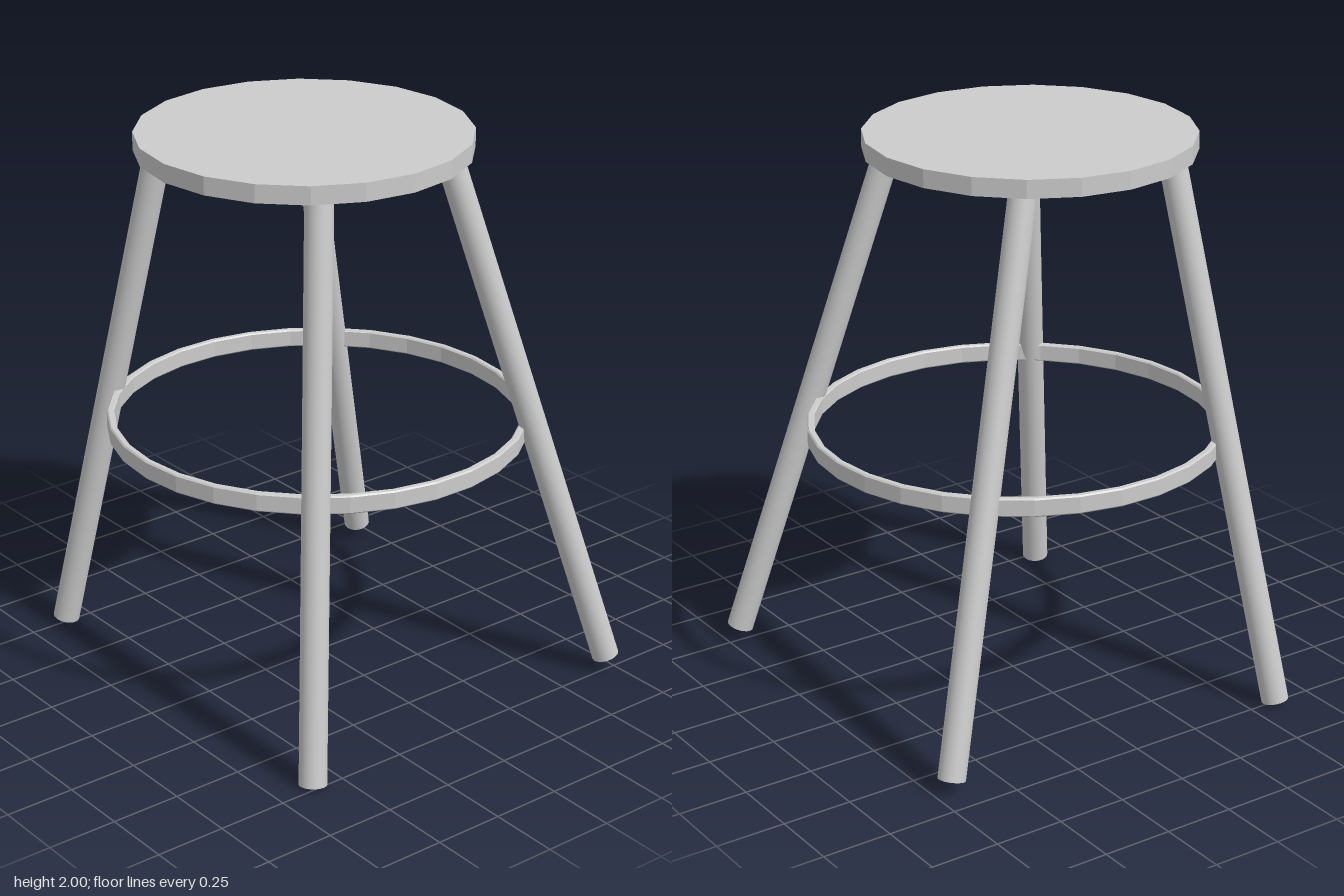
import * as THREE from 'three';

const flat = new THREE.MeshStandardMaterial({ color: 0xcccccc, flatShading: true });
const smooth = new THREE.MeshStandardMaterial({ color: 0xcccccc });
const LEG_RADIUS = 0.048;

// Round rod between two points
function rod(name, from, to) {
  const a = new THREE.Vector3(...from);
  const b = new THREE.Vector3(...to);
  const dir = b.clone().sub(a);
  const mesh = new THREE.Mesh(new THREE.CylinderGeometry(LEG_RADIUS, LEG_RADIUS, dir.length(), 24), smooth);
  mesh.position.copy(a).add(b).multiplyScalar(0.5);
  mesh.quaternion.setFromUnitVectors(new THREE.Vector3(0, 1, 0), dir.normalize());
  mesh.name = name;
  return mesh;
}

export function createModel() {
  const stool = new THREE.Group();
  stool.name = 'stool';

  // Twenty-sided disc seat
  const seat = new THREE.Mesh(new THREE.CylinderGeometry(0.573, 0.573, 0.064, 20), flat);
  seat.name = 'seat';
  seat.position.set(-0.083, 1.968, 0.018);
  stool.add(seat);

  // Footrest hoop: flat band with small bevels
  const inner = 0.709, outer = 0.735, h = 0.033, c = 0.005;
  const profile = [
    [inner + c, -h], [outer - c, -h], [outer, -h + c], [outer, h - c],
    [outer - c, h], [inner + c, h], [inner, h - c], [inner, -h + c], [inner + c, -h],
  ].map(([x, y]) => new THREE.Vector2(x, y));
  const hoop = new THREE.Mesh(new THREE.LatheGeometry(profile, 30, Math.PI / 2), flat);
  hoop.name = 'footrestRing';
  hoop.position.set(-0.022, 0.942, 0.012);
  stool.add(hoop);

  // Splayed legs, each with its own lean: foot, then top just inside the seat
  const legs = {
    frontLeftLeg: [[0.705, 0.062, 0.75], [0.203, 1.95, 0.427]],
    frontRightLeg: [[-0.61, 0.011, 0.731], [-0.359, 1.95, 0.447]],
    backLeftLeg: [[0.692, 0.056, -0.646], [0.216, 1.95, -0.373]],
    backRightLeg: [[-0.598, 0.018, -0.761], [-0.367, 1.95, -0.402]],
  };
  for (const [name, [foot, top]] of Object.entries(legs)) stool.add(rod(name, foot, top));

  return stool;
}
